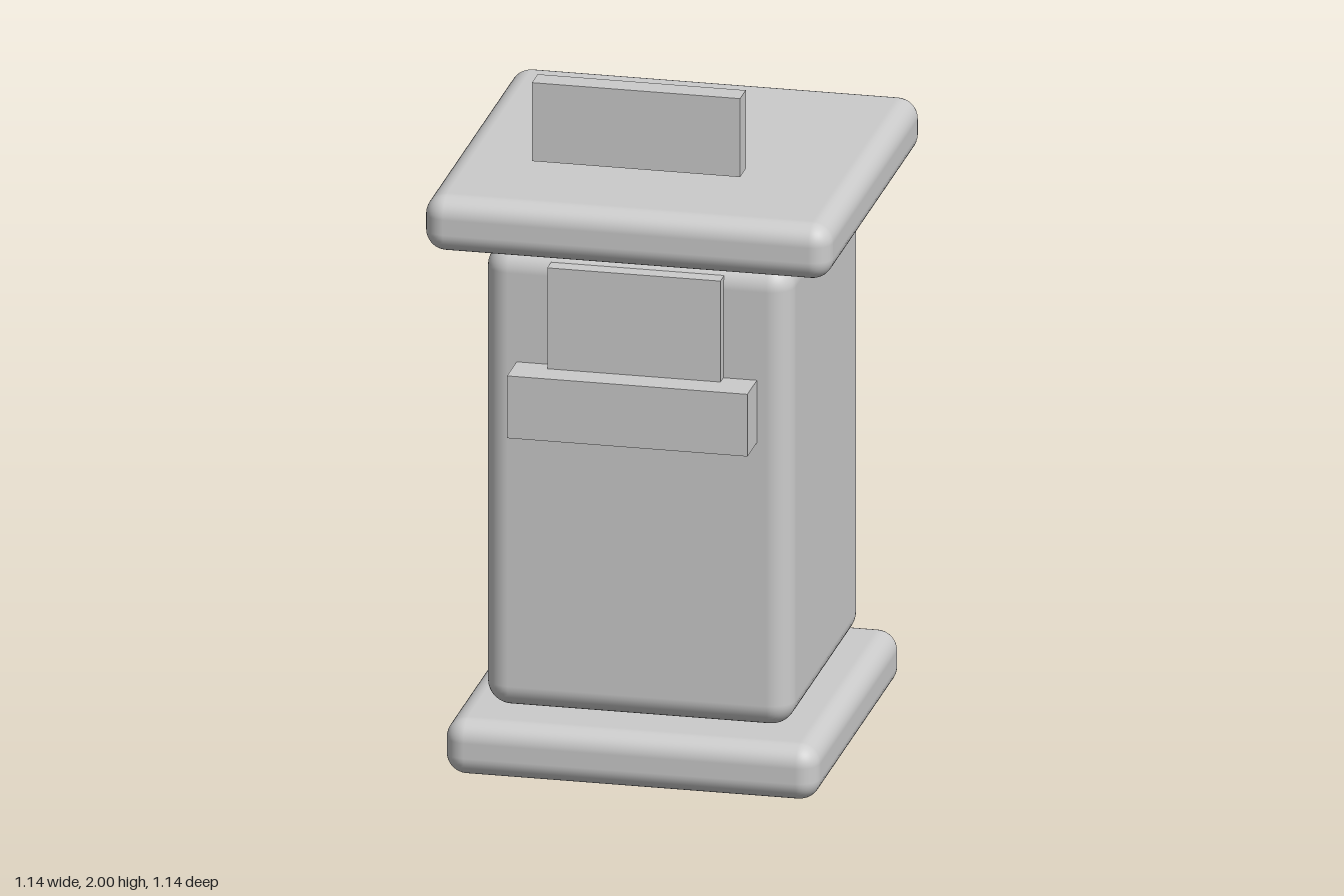
import * as THREE from 'three';
import { RoundedBoxGeometry } from 'three/addons/geometries/RoundedBoxGeometry.js';

export function createModel() {
  const group = new THREE.Group();
  const grey = new THREE.MeshStandardMaterial({ color: 0xcccccc });
  grey.name = 'light grey';

  // Adds a box spanning y0..y1 and z0..z1, centred on x; a radius rounds its edges
  const addBox = (name, width, y0, y1, z0, z1, radius = 0) => {
    const h = y1 - y0, d = z1 - z0;
    const geometry = radius
      ? new RoundedBoxGeometry(width, h, d, 5, radius)
      : new THREE.BoxGeometry(width, h, d);
    const mesh = new THREE.Mesh(geometry, grey);
    mesh.name = name;
    mesh.position.set(0, (y0 + y1) / 2, (z0 + z1) / 2);
    group.add(mesh);
  };

  // Stacked rounded slabs of the booth, with small gaps between them
  addBox('base', 1.044, 0, 0.16, -0.522, 0.522, 0.058);
  addBox('body', 0.86, 0.175, 1.508, -0.43, 0.43, 0.068);
  addBox('roof', 1.138, 1.527, 1.687, -0.569, 0.569, 0.058);

  // Square-edged fittings on the front
  addBox('windowPanel', 0.484, 1.185, 1.477, 0.4, 0.466);
  addBox('counter', 0.672, 1.005, 1.185, 0.41, 0.547);

  // Sign floating above the front of the roof
  addBox('sign', 0.582, 1.773, 2, 0.37, 0.44);

  return group;
}
